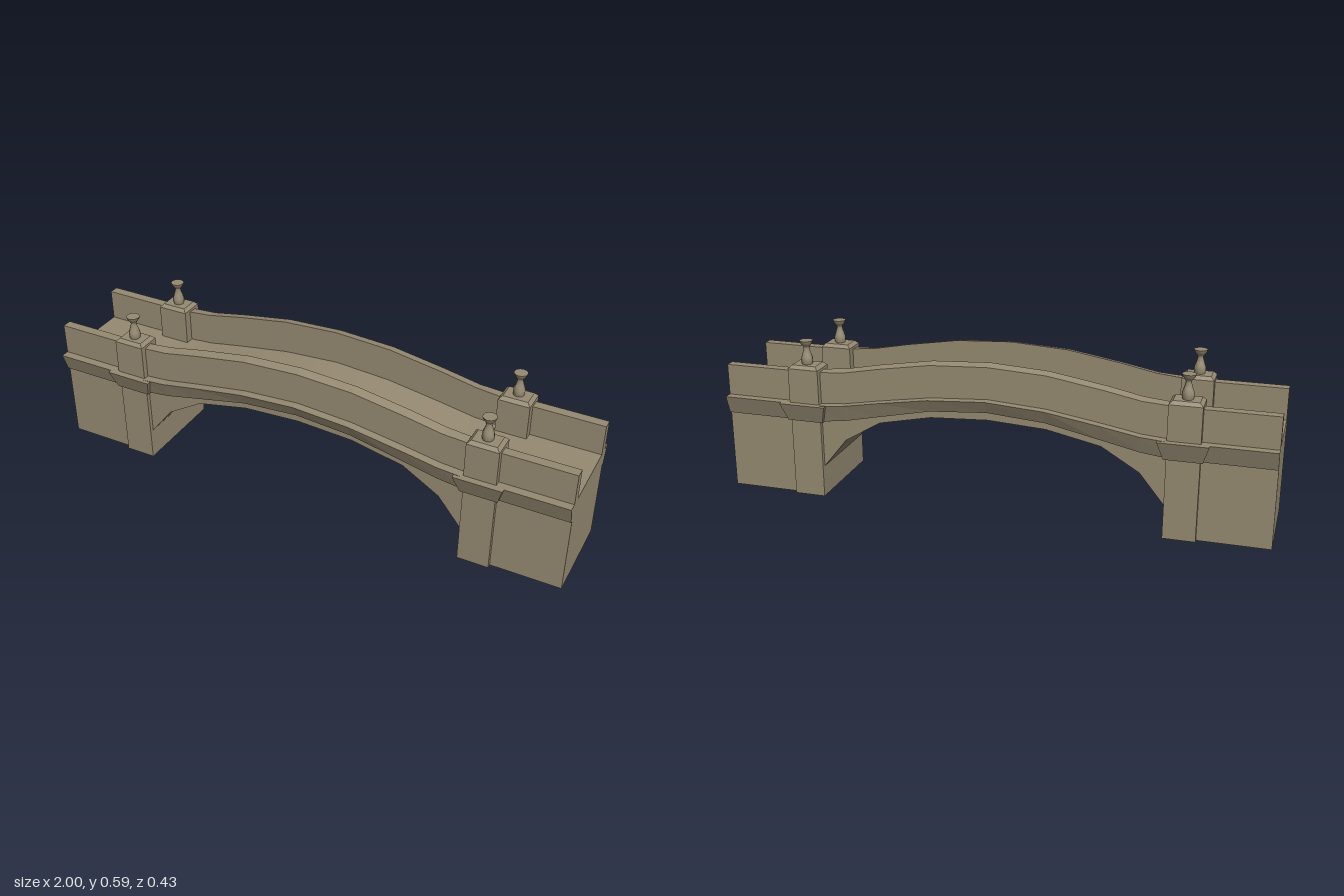
import * as THREE from 'three';
import { toCreasedNormals } from 'three/addons/utils/BufferGeometryUtils.js';

// half-span stations: x, arch underside, cornice bottom, deck, rail top outside, rail top inside
const HALF = [
  [0, 0.36, 0.39, 0.436, 0.552, 0.56],
  [0.21, 0.348, 0.374, 0.422, 0.541, 0.548],
  [0.405, 0.307, 0.333, 0.391, 0.509, 0.516],
  [0.54, 0.226, 0.304, 0.367, 0.483, 0.489],
  [0.63, 0.115, 0.293, 0.36, 0.477, 0.48],
  [0.745, 0, 0.292, 0.36, 0.475, 0.475],
  [1, 0, 0.292, 0.36, 0.475, 0.475],
];
const STATIONS = [...HALF.slice(1).reverse().map(([x, ...r]) => [-x, ...r]), ...HALF];
const CREASE = 0.5;
const PIER_X = 0.6875;

// closed skin over rings of points, counter-clockwise seen from the last ring
function loft(rings) {
  const p = [];
  const tri = (...pts) => pts.forEach((v) => p.push(...v));
  const n = rings[0].length;
  for (let i = 0; i < rings.length - 1; i++) {
    const a = rings[i], b = rings[i + 1];
    for (let j = 0; j < n; j++) {
      const k = (j + 1) % n;
      tri(a[j], a[k], b[k]);
      tri(a[j], b[k], b[j]);
    }
  }
  const first = rings[0], last = rings[rings.length - 1];
  for (let j = 1; j < n - 1; j++) {
    tri(first[0], first[j + 1], first[j]);
    tri(last[0], last[j], last[j + 1]);
  }
  const g = new THREE.BufferGeometry();
  g.setAttribute('position', new THREE.Float32BufferAttribute(p, 3));
  g.computeVertexNormals();
  return g;
}

// horizontal rectangle ring for blocks with sloping sides
const rect = (y, x0, x1, z0, z1) => [[x0, y, z0], [x0, y, z1], [x1, y, z1], [x1, y, z0]];

export function createModel() {
  const stone = new THREE.MeshStandardMaterial({ color: 0x968a72 });
  stone.name = 'stone';
  const bridge = new THREE.Group();
  bridge.name = 'bridge';
  const add = (parent, name, geometry, x = 0, y = 0, z = 0) => {
    const m = new THREE.Mesh(geometry, stone);
    m.name = name;
    m.position.set(x, y, z);
    parent.add(m);
    return m;
  };

  // arched body with abutments and deck
  const outline = new THREE.Shape();
  outline.moveTo(-1, 0);
  outline.lineTo(-0.63, 0);
  STATIONS.filter((s) => Math.abs(s[0]) < 0.7).forEach((s) => outline.lineTo(s[0], s[1]));
  outline.lineTo(0.63, 0);
  outline.lineTo(1, 0);
  [...STATIONS].reverse().forEach((s) => outline.lineTo(s[0], s[3]));
  const body = new THREE.ExtrudeGeometry(outline, { depth: 0.336, bevelEnabled: false });
  body.translate(0, 0, -0.168);
  add(bridge, 'archedBody', toCreasedNormals(body, CREASE));

  // projecting piers
  for (const s of [-1, 1]) {
    add(bridge, 'pier', new THREE.BoxGeometry(0.115, 0.31, 0.368), s * PIER_X, 0.155, 0);
  }

  // one side: cornice, parapet, posts and finials
  const side = new THREE.Group();
  side.name = 'frontSide';
  add(side, 'cornice', loft(STATIONS.map(([x, , low, top]) =>
    [[x, low, 0.14], [x, top, 0.14], [x, top, 0.2], [x, low, 0.177]])));
  add(side, 'parapet', loft(STATIONS.map(([x, , , deck, outer, inner]) =>
    [[x, deck - 0.02, 0.132], [x, inner, 0.132], [x, outer, 0.168], [x, deck - 0.02, 0.168]])));

  const finialProfile = [
    [0, 0], [0.019, 0], [0.0215, 0.012], [0.0205, 0.024], [0.015, 0.04], [0.0105, 0.055],
    [0.0105, 0.063], [0.017, 0.071], [0.0215, 0.078], [0.0245, 0.087], [0, 0.087],
  ].map(([r, y]) => new THREE.Vector2(r, y));
  const finial = toCreasedNormals(new THREE.LatheGeometry(finialProfile, 12).toNonIndexed(), 0.8);
  const pierCornice = loft([
    rect(0.292, -0.067, 0.067, 0.14, 0.19),
    rect(0.36, -0.0875, 0.0875, 0.14, 0.215),
  ]);
  const post = loft([
    rect(0.34, -0.0575, 0.0575, 0.1, 0.19),
    rect(0.488, -0.0575, 0.0575, 0.1, 0.19),
  ]);
  const postCap = loft([
    rect(0.488, -0.0575, 0.0575, 0.1, 0.19),
    rect(0.5, -0.045, 0.045, 0.112, 0.178),
  ]);
  for (const s of [-1, 1]) {
    add(side, 'pierCornice', pierCornice, s * PIER_X);
    add(side, 'post', post, s * PIER_X);
    add(side, 'postCap', postCap, s * PIER_X);
    add(side, 'finial', finial, s * PIER_X, 0.5, 0.146);
  }
  bridge.add(side);

  // the bridge is symmetric, so a half turn gives the other side
  const back = side.clone();
  back.name = 'backSide';
  back.rotation.y = Math.PI;
  bridge.add(back);
  return bridge;
}
